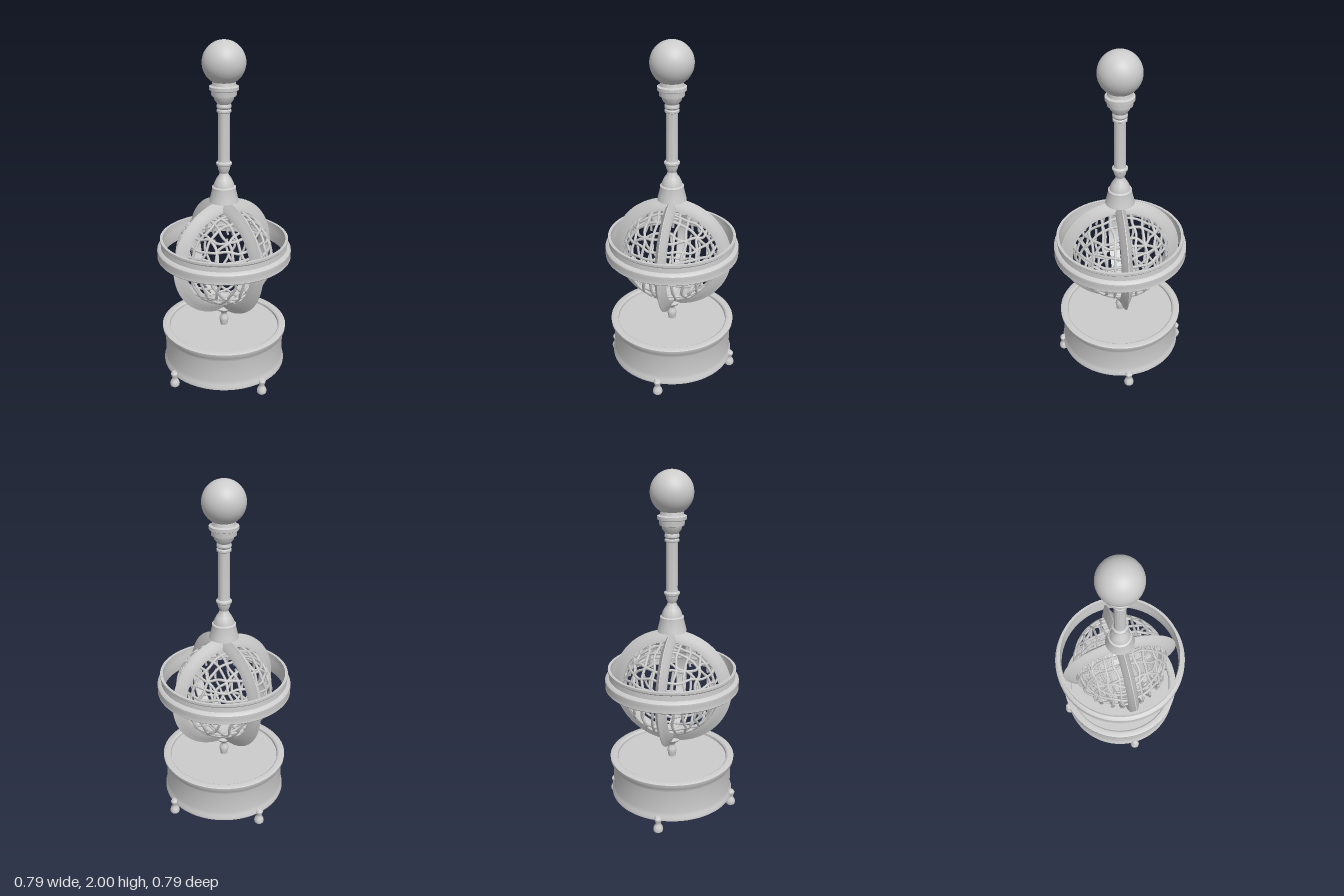
import * as THREE from 'three';
import { toCreasedNormals } from 'three/addons/utils/BufferGeometryUtils.js';

const CENTER = 0.76; // height of the cage centre

export function createModel() {
  const model = new THREE.Group();
  const mat = new THREE.MeshStandardMaterial({ color: 0xcccccc, side: THREE.DoubleSide });

  function add(name, geometry, parent = model) {
    const mesh = new THREE.Mesh(geometry, mat);
    mesh.name = name;
    parent.add(mesh);
    return mesh;
  }
  // Turned part from [radius, height] pairs, listed bottom to top
  function lathe(profile, segments = 64) {
    const pts = profile.map(([r, y]) => new THREE.Vector2(r, y));
    return toCreasedNormals(new THREE.LatheGeometry(pts, segments), 0.6);
  }

  // Drum base with flared rims and a shallow recessed top
  add('base', lathe([
    [0, 0.07], [0.355, 0.07], [0.368, 0.078], [0.368, 0.09], [0.36, 0.105], [0.357, 0.13],
    [0.357, 0.265], [0.362, 0.285], [0.372, 0.298], [0.374, 0.318], [0.368, 0.322],
    [0.338, 0.322], [0.33, 0.316], [0.328, 0.302], [0, 0.302],
  ], 96));

  // Four bulb feet
  const footGeo = lathe([
    [0, 0], [0.017, 0.003], [0.027, 0.013], [0.029, 0.026], [0.025, 0.04],
    [0.016, 0.055], [0.015, 0.065], [0.021, 0.08], [0.023, 0.092], [0.015, 0.104], [0, 0.108],
  ], 20);
  for (let i = 0; i < 4; i++) {
    const a = i * Math.PI / 2;
    add('foot', footGeo).position.set(0.368 * Math.cos(a), 0, 0.368 * Math.sin(a));
  }

  // Short pedestal between base and cage
  add('pedestal', lathe([
    [0.022, 0.3], [0.024, 0.32], [0.028, 0.338], [0.026, 0.352], [0.018, 0.366],
    [0.016, 0.376], [0.022, 0.39], [0.042, 0.405], [0.05, 0.418], [0, 0.43],
  ], 32));

  // Stepped equator ring
  add('equatorRing', lathe([
    [0.355, 0.765], [0.383, 0.765], [0.39, 0.772], [0.387, 0.79], [0.39, 0.806], [0.389, 0.822],
    [0.38, 0.832], [0.368, 0.836], [0.366, 0.865], [0.372, 0.872], [0.372, 0.885],
    [0.356, 0.885], [0.356, 0.84], [0.352, 0.825], [0.355, 0.765],
  ], 96));

  // Two crossed meridian rings with a knife-edged outer side
  const ribGeo = lathe([
    [0.285, -0.032], [0.302, -0.029], [0.325, -0.016], [0.354, -0.002], [0.354, 0.002],
    [0.325, 0.016], [0.302, 0.029], [0.285, 0.032], [0.285, -0.032],
  ], 96);
  for (const turn of [0, Math.PI / 2]) {
    const holder = new THREE.Group();
    holder.name = 'meridianRing';
    holder.position.y = CENTER;
    holder.rotation.y = turn;
    add('meridianRib', ribGeo, holder).rotation.x = Math.PI / 2;
    model.add(holder);
  }

  // Organic lattice: wavering circles cut across the sphere along each axis
  const cage = new THREE.Group();
  cage.name = 'latticeCage';
  cage.position.y = CENTER;
  model.add(cage);
  const R = 0.28;
  function latticeArc(axis, c, start, sweep) {
    const pts = [];
    const steps = Math.ceil(sweep * 9);
    for (let i = 0; i <= steps; i++) {
      const t = start + sweep * i / steps;
      const d = c + 0.006 * Math.sin(7 * t + c * 60) + 0.003 * Math.sin(13 * t + axis);
      const r = Math.sqrt(R * R - d * d);
      const p = [0, 0, 0];
      p[axis] = d;
      p[(axis + 1) % 3] = r * Math.cos(t);
      p[(axis + 2) % 3] = r * Math.sin(t);
      pts.push(new THREE.Vector3(...p));
    }
    const geo = new THREE.TubeGeometry(new THREE.CatmullRomCurve3(pts), steps * 2, 0.008, 6);
    add('latticeBar', geo, cage);
  }
  const levels = [
    [-0.18, -0.115, -0.06, 0.06, 0.115, 0.18],
    [-0.21, -0.165, 0.08, 0.13, 0.18],
    [-0.18, -0.115, -0.06, 0.06, 0.115, 0.18],
  ];
  levels.forEach((list, axis) => list.forEach((c) => {
    // The upright bars break off near the equator
    const gap = axis === 1 ? 0 : 0.07;
    const equator = axis === 0 ? 0 : Math.PI / 2;
    for (let h = 0; h < 2; h++) {
      // measure both halves from the point where the circle meets y = 0
      const s = (axis === 0 ? Math.PI / 2 : axis === 2 ? 0 : equator) + h * Math.PI;
      latticeArc(axis, c, s + gap, Math.PI - 2 * gap);
    }
  }));

  // Turned column: bell foot, collars, shaft and cup
  add('column', lathe([
    [0, 1.1], [0.084, 1.108], [0.08, 1.125], [0.068, 1.175], [0.068, 1.192], [0.058, 1.198],
    [0.055, 1.215], [0.043, 1.24], [0.028, 1.262], [0.024, 1.275], [0.034, 1.298],
    [0.036, 1.318], [0.044, 1.324], [0.044, 1.334], [0.034, 1.342], [0.032, 1.36],
    [0.032, 1.615], [0.04, 1.62], [0.04, 1.63], [0.034, 1.636], [0.041, 1.645],
    [0.041, 1.655], [0.036, 1.664], [0.052, 1.685], [0.057, 1.705], [0.068, 1.708],
    [0.07, 1.735], [0.08, 1.74], [0.08, 1.758], [0.066, 1.764], [0.06, 1.79], [0, 1.79],
  ], 48));

  // Ball finial
  add('finialBall', new THREE.SphereGeometry(0.118, 48, 32)).position.y = 1.882;

  return model;
}
